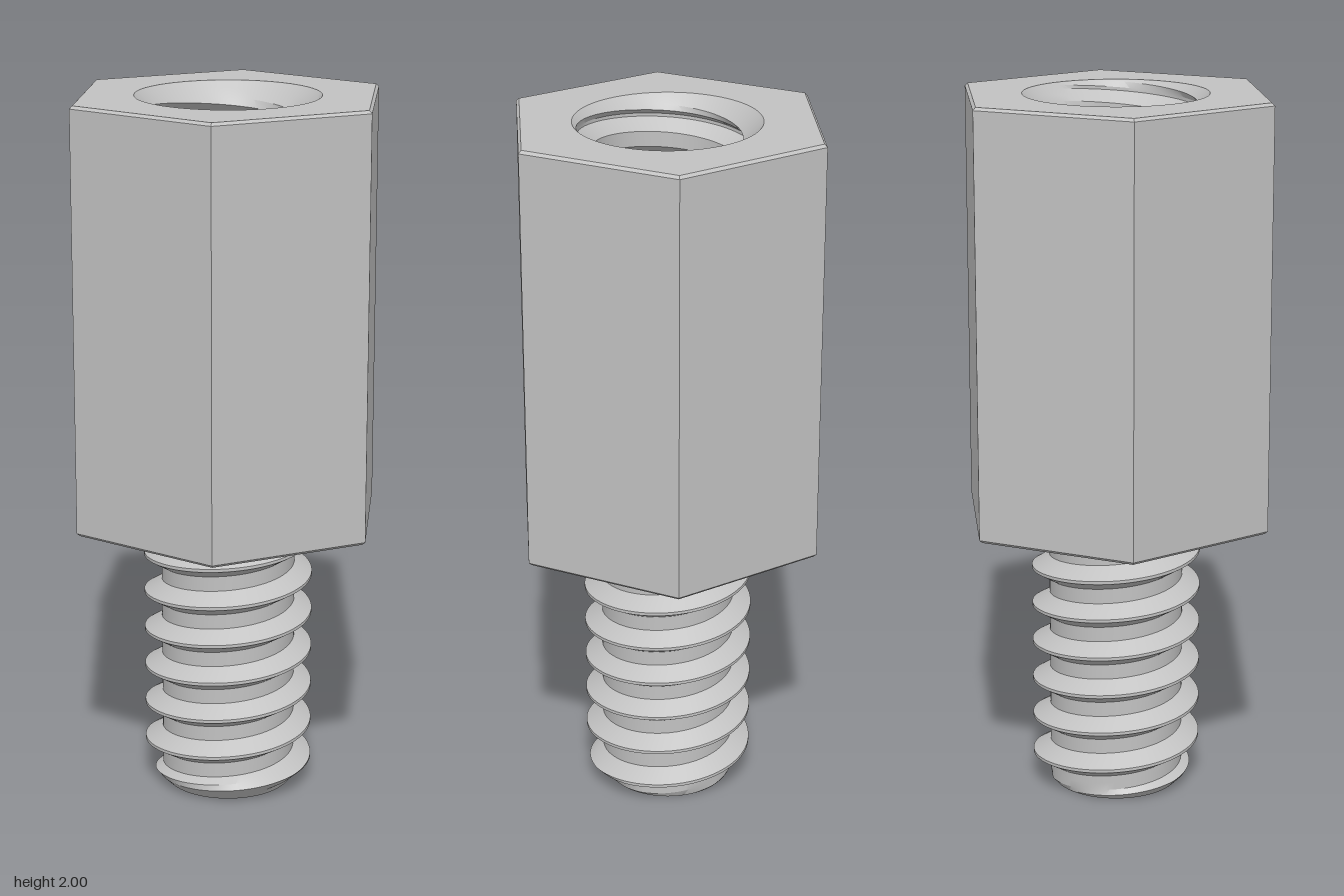
import * as THREE from 'three';
import { toCreasedNormals } from 'three/addons/utils/BufferGeometryUtils.js';

const PITCH = 0.113, PHASE = 0.075, SEGMENTS = 96;
const BASE = 0.8, TOP = 2, HOLE_FLOOR = 1.0, HEX_R = 0.462;

// One pitch of the thread as [fraction of pitch, 0 = root .. 1 = crest]
const STEPS = [-0.04, 0.04, 0.18, 0.31, 0.5, 0.69, 0.82];
function threadHeight(f) {
  const d = Math.abs(f - Math.round(f)); // distance from the crest centre
  return THREE.MathUtils.clamp((0.31 - d) / 0.27, 0, 1);
}

// Helical wall between y0 and y1; radiusAt(height, y) gives the radius
function threadWall(y0, y1, radiusAt, inward) {
  const rows = [];
  const first = Math.floor((y0 - PHASE) / PITCH) - 2;
  const last = Math.ceil((y1 - PHASE) / PITCH) + 1;
  for (let k = first; k <= last; k++) for (const s of STEPS) rows.push(k + s);

  const point = (row, i) => {
    const turn = i / SEGMENTS, t = turn * Math.PI * 2;
    const y = THREE.MathUtils.clamp(PHASE + PITCH * (row + turn), y0, y1);
    const r = radiusAt(threadHeight((y - PHASE) / PITCH - turn), y);
    return new THREE.Vector3(r * Math.cos(t), y, -r * Math.sin(t));
  };

  const pos = [];
  const tri = new THREE.Triangle();
  const addFace = (a, b, c) => {
    tri.set(a, b, c);
    if (tri.getArea() < 1e-9) return; // skip faces collapsed at the ends
    for (const p of inward ? [a, c, b] : [a, b, c]) pos.push(p.x, p.y, p.z);
  };
  for (let j = 0; j < rows.length - 1; j++) {
    for (let i = 0; i < SEGMENTS; i++) {
      const a = point(rows[j], i), b = point(rows[j], i + 1);
      const c = point(rows[j + 1], i + 1), d = point(rows[j + 1], i);
      addFace(a, b, c);
      addFace(a, c, d);
    }
  }
  const geo = new THREE.BufferGeometry();
  geo.setAttribute('position', new THREE.Float32BufferAttribute(pos, 3));
  return toCreasedNormals(geo, 0.4);
}

export function createModel() {
  const model = new THREE.Group();
  model.name = 'threadedStandoff';
  const steel = new THREE.MeshStandardMaterial({ color: 0xc2c2c2 });
  steel.name = 'steel';
  const add = (name, geo) => {
    const mesh = new THREE.Mesh(geo, steel);
    mesh.name = name;
    model.add(mesh);
    return mesh;
  };

  // Hexagonal body with small chamfers, corners on the x axis
  const chamfer = 0.008, faceR = HEX_R - 0.009;
  const profile = [
    [0, BASE], [faceR, BASE], [HEX_R, BASE + chamfer],
    [HEX_R, TOP - chamfer], [faceR, TOP],
  ].map(([r, y]) => new THREE.Vector2(r, y));
  const body = new THREE.LatheGeometry(profile, 6, Math.PI / 2).toNonIndexed();
  body.computeVertexNormals();
  add('hexBody', body);

  // Top face with the round opening
  const holeR = 0.256;
  const hexagon = [];
  for (let i = 0; i < 6; i++) {
    const a = i * Math.PI / 3;
    hexagon.push(new THREE.Vector2(faceR * Math.cos(a), faceR * Math.sin(a)));
  }
  const face = new THREE.Shape(hexagon);
  face.holes.push(new THREE.Path().absarc(0, 0, holeR, 0, Math.PI * 2, true));
  const topFace = add('topFace', new THREE.ShapeGeometry(face, 48));
  topFace.rotation.x = -Math.PI / 2;
  topFace.position.y = TOP;

  // Countersunk threaded hole and its floor
  add('threadedHole', threadWall(HOLE_FLOOR, TOP,
    (h, y) => Math.max(0.2 + 0.043 * h, holeR - (TOP - y)), true));
  const floor = add('holeFloor', new THREE.CircleGeometry(0.245, 64));
  floor.rotation.x = -Math.PI / 2;
  floor.position.y = HOLE_FLOOR;

  // Threaded stud with a chamfered tip
  const tipR = 0.18;
  add('threadedStud', threadWall(0, BASE,
    (h, y) => Math.min(0.19 + 0.05 * h, tipR + y), false));
  const tip = add('studTip', new THREE.CircleGeometry(tipR, SEGMENTS));
  tip.rotation.x = Math.PI / 2;

  return model;
}
